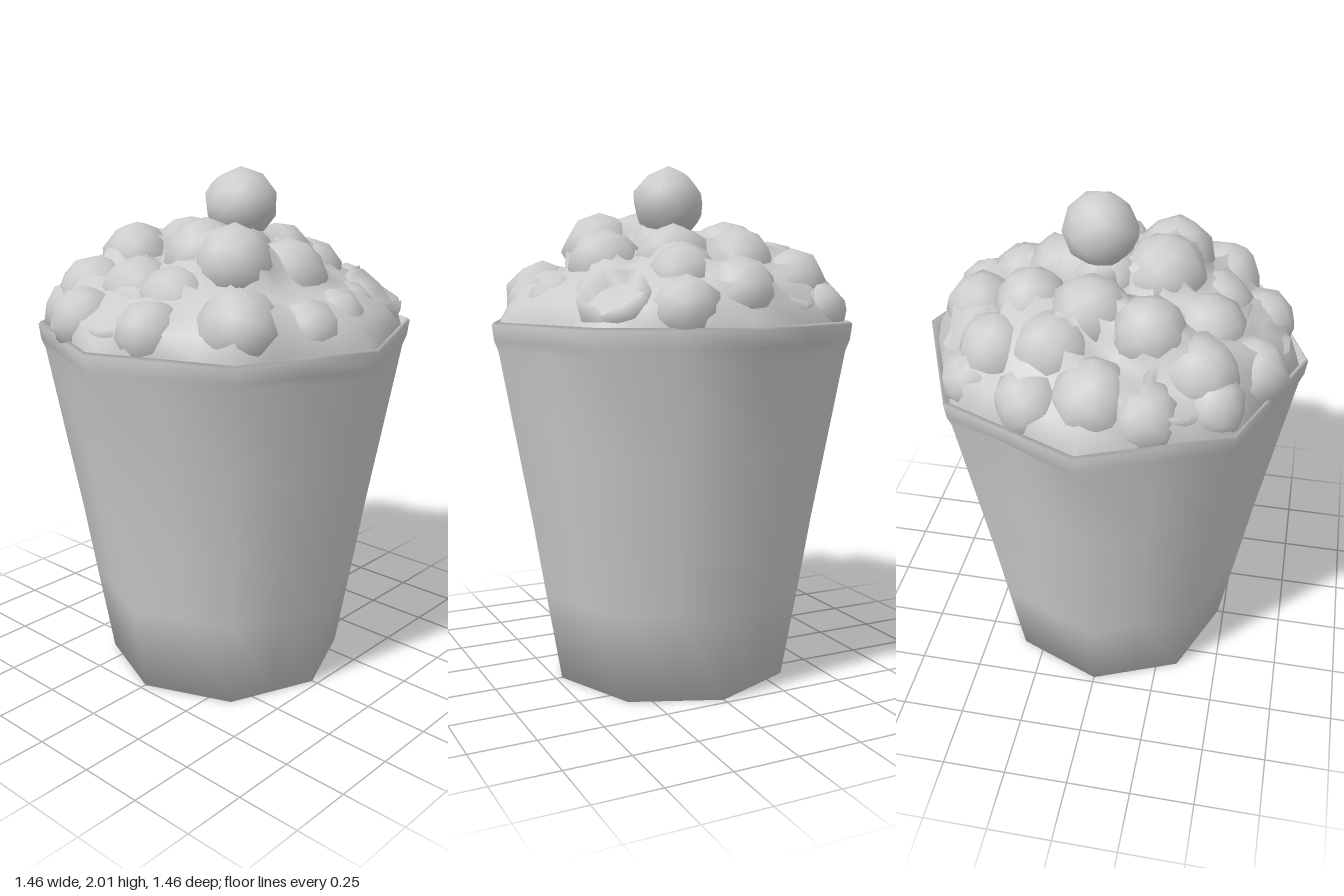
import * as THREE from 'three';
import { mergeVertices } from 'three/addons/utils/BufferGeometryUtils.js';

const grey = new THREE.MeshStandardMaterial({ color: 0xcccccc });
grey.name = 'plain grey';

function seeded(seed) {
  return () => {
    seed = (seed * 16807) % 2147483647;
    return seed / 2147483647;
  };
}

// Weld a geometry, move its vertices by a rule and smooth it
function reshape(source, rule) {
  source.deleteAttribute('normal');
  source.deleteAttribute('uv');
  const geo = mergeVertices(source, 1e-4);
  const pos = geo.attributes.position;
  const v = new THREE.Vector3();
  for (let i = 0; i < pos.count; i++) {
    rule(v.fromBufferAttribute(pos, i));
    pos.setXYZ(i, v.x, v.y, v.z);
  }
  geo.computeVertexNormals();
  return geo;
}

function addMesh(parent, name, geometry) {
  const mesh = new THREE.Mesh(geometry, grey);
  mesh.name = name;
  parent.add(mesh);
  return mesh;
}

// Radius factor that turns a circle into an octagon with corners on the axes
function octagon(angle) {
  const side = Math.PI / 4;
  const a = ((angle % side) + side) % side;
  return Math.cos(side / 2) / Math.cos(a - side / 2);
}

// Tapered octagonal wall, creased inward on a few faces
function bucketGeometry() {
  const profile = [
    [0, 0], [0.475, 0], [0.535, 0.35], [0.585, 0.65], [0.64, 0.95], [0.706, 1.31],
    [0.722, 1.35], [0.73, 1.41], [0.72, 1.42], [0.68, 1.36],
  ].map(([r, y]) => new THREE.Vector2(r, y));
  // Dents as face angle in degrees, height, reach, depth
  const dents = [[112.5, 1.25, 0.6, 0.055], [-67.5, 0.75, 0.6, 0.035], [22.5, 1.3, 0.2, 0.015],
    [-22.5, 1.3, 0.2, 0.015], [157.5, 1.3, 0.4, 0.025], [-112.5, 1.2, 0.4, 0.025]];
  return reshape(new THREE.LatheGeometry(profile, 16), (v) => {
    const angle = Math.atan2(v.x, v.z);
    let r = Math.hypot(v.x, v.z) * octagon(angle);
    if (v.y > 0.1 && v.y < 1.33) {
      for (const [deg, y, reach, depth] of dents) {
        const off = Math.abs(angle - THREE.MathUtils.degToRad(deg));
        if (off < 0.1) r -= depth * Math.max(0, 1 - Math.abs(v.y - y) / reach);
      }
    }
    v.set(Math.sin(angle) * r, v.y, Math.cos(angle) * r);
  });
}

// Kernels as x, y, z, radius
const kernels = [
  [0.03, 1.66, 0.03, 0.15],
  [-0.17, 1.68, 0.06, 0.16], [-0.19, 1.68, 0.22, 0.15], [0.04, 1.66, -0.22, 0.15],
  [0.2, 1.64, 0.08, 0.15], [0.03, 1.62, 0.28, 0.15], [-0.18, 1.65, -0.3, 0.14],
  [0.27, 1.62, -0.15, 0.15], [0.15, 1.58, -0.36, 0.15], [-0.36, 1.56, -0.1, 0.15],
  [-0.37, 1.55, 0.1, 0.14], [0.36, 1.57, 0.12, 0.14], [-0.02, 1.5, -0.5, 0.15],
  [0.36, 1.55, -0.34, 0.14], [-0.36, 1.53, -0.34, 0.15], [0.5, 1.52, -0.04, 0.14],
  [-0.37, 1.5, 0.4, 0.15], [0.05, 1.47, 0.48, 0.13], [-0.14, 1.47, 0.51, 0.12],
  [-0.54, 1.47, -0.2, 0.13], [-0.54, 1.47, 0.14, 0.13], [0.53, 1.47, 0.19, 0.13],
  [0.24, 1.47, 0.4, 0.12], [-0.2, 1.46, -0.51, 0.13], [0.2, 1.46, -0.51, 0.13],
  [0.43, 1.46, -0.4, 0.12], [-0.42, 1.46, -0.41, 0.12],
];

// Skin filling the gaps, wrapped loosely over the kernels from a point inside the bucket
function heapGeometry() {
  const origin = new THREE.Vector3(0, 1.2, 0);
  const dome = new THREE.SphereGeometry(1, 32, 12, 0, Math.PI * 2, 0, 1.36);
  return reshape(dome, (v) => {
    v.normalize();
    const flat = Math.hypot(v.x, v.z);
    let reach = 1 / Math.hypot(flat / 0.78, v.y / 0.48);
    for (const [x, y, z, size] of kernels) {
      const c = new THREE.Vector3(x, y, z).sub(origin);
      const r = size * 0.92;
      const along = c.dot(v);
      const inside = r * r - c.lengthSq() + along * along;
      if (inside > 0) reach = Math.max(reach, along + Math.sqrt(inside));
    }
    const limit = 0.71 * octagon(Math.atan2(v.x, v.z));
    if (flat * reach > limit) reach = limit / flat;
    v.multiplyScalar(reach).add(origin);
  });
}

// A lumpy low-poly ball; a cupped one has its crown pushed inward
function kernelGeometry(radius, random, cupped) {
  return reshape(new THREE.IcosahedronGeometry(1, 1), (v) => {
    const crown = cupped && v.y > 0.6;
    v.multiplyScalar(radius * (0.93 + 0.12 * random()));
    if (crown) v.set(v.x * 0.75, -0.1 * v.y, v.z * 0.75);
  });
}

export function createModel() {
  const model = new THREE.Group();
  model.name = 'popcornBucket';
  addMesh(model, 'bucket', bucketGeometry());
  addMesh(model, 'popcornHeap', heapGeometry());

  // Round kernels, the last one sitting loose on top
  const random = seeded(31);
  for (const [x, y, z, r] of [...kernels, [0.055, 1.862, 0.03, 0.14]]) {
    const kernel = addMesh(model, 'kernel', kernelGeometry(r, random, false));
    kernel.position.set(x, y, z);
    kernel.rotation.y = random() * 6;
  }

  // Open kernels round the edge
  const cups = [
    [0.4, 1.5, 0.4, 0.14], [-0.54, 1.5, -0.02, 0.13],
    [0.47, 1.51, -0.23, 0.12], [-0.29, 1.51, -0.45, 0.13],
  ];
  for (const [x, y, z, r] of cups) {
    const cup = addMesh(model, 'cuppedKernel', kernelGeometry(r, random, true));
    cup.position.set(x, y, z);
    cup.rotation.set(z * 1.2, 0, -x * 1.2);
  }
  return model;
}
